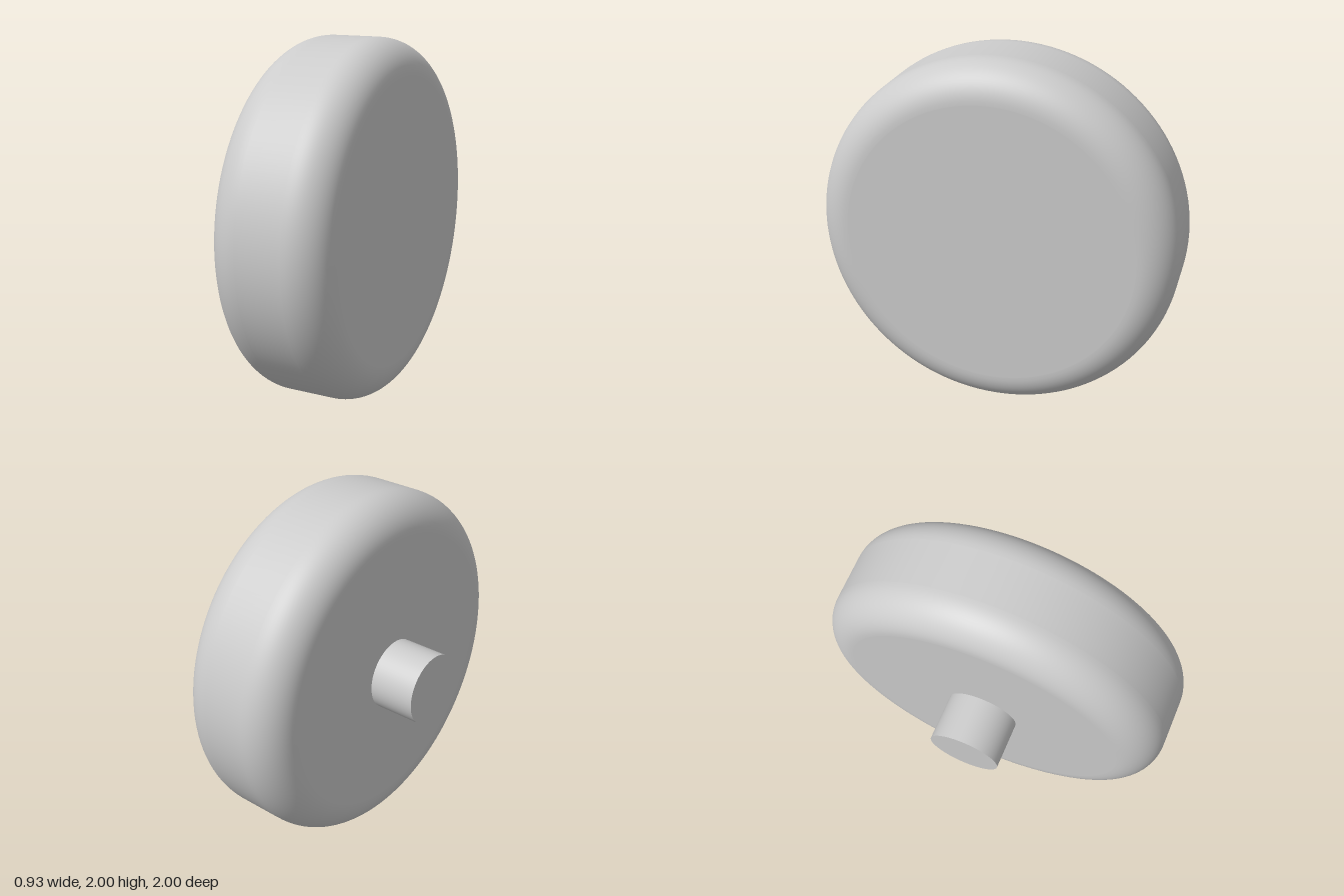
import * as THREE from 'three';

const RADIUS = 1, FILLET = 0.2;
const INNER = -0.2, OUTER = 0.465, AXLE_END = -0.465, AXLE_RADIUS = 0.2;

// Half section of the wheel: flat faces joined to the tread by quarter rounds
function wheelProfile() {
  const steps = 16, r = RADIUS - FILLET, eps = 0.004;
  const pts = [new THREE.Vector2(0, INNER), new THREE.Vector2(r - eps, INNER)];
  const addRound = (cy, start) => {
    for (let i = 0; i <= steps; i++) {
      const a = start + (i / steps) * Math.PI / 2;
      pts.push(new THREE.Vector2(r + FILLET * Math.cos(a), cy + FILLET * Math.sin(a)));
    }
  };
  addRound(INNER + FILLET, -Math.PI / 2);
  // extra rings keep the tread shading straight
  pts.push(new THREE.Vector2(RADIUS, INNER + FILLET + eps));
  pts.push(new THREE.Vector2(RADIUS, OUTER - FILLET - eps));
  addRound(OUTER - FILLET, 0);
  pts.push(new THREE.Vector2(r - eps, OUTER), new THREE.Vector2(0, OUTER));
  return pts;
}

export function createModel() {
  const model = new THREE.Group();
  model.name = 'wheelWithAxle';
  const material = new THREE.MeshStandardMaterial({ color: 0xcccccc });

  // Geometry is turned about y, then laid along x
  const addPart = (name, geometry) => {
    geometry.rotateZ(-Math.PI / 2).translate(0, RADIUS, 0);
    const mesh = new THREE.Mesh(geometry, material);
    mesh.name = name;
    model.add(mesh);
  };

  // Rounded wheel
  addPart('wheel', new THREE.LatheGeometry(wheelProfile(), 128));

  // Axle stub on the inner face
  const length = INNER - AXLE_END;
  const axle = new THREE.CylinderGeometry(AXLE_RADIUS, AXLE_RADIUS, length, 64);
  axle.translate(0, (INNER + AXLE_END) / 2, 0);
  addPart('axle', axle);

  return model;
}
